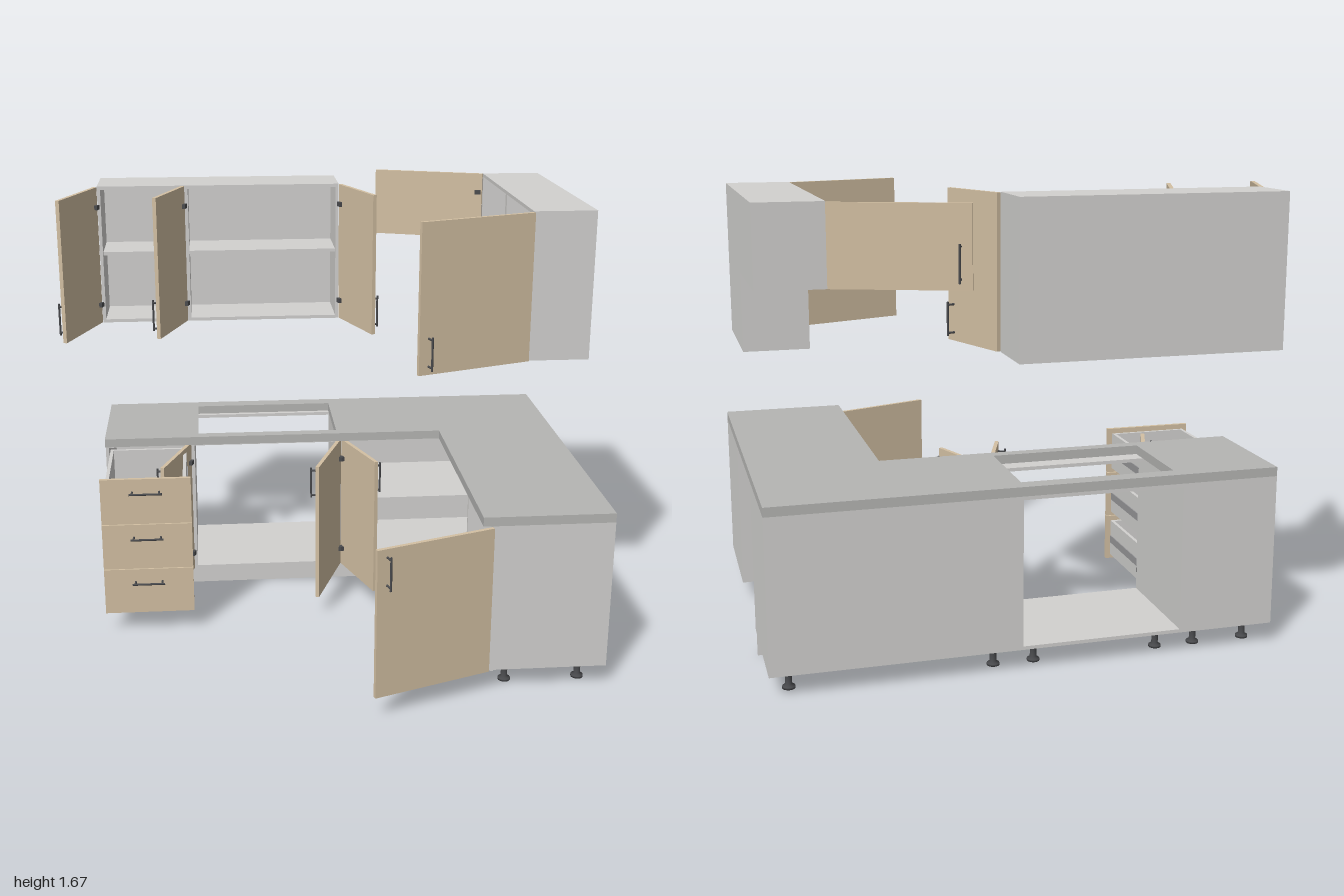
import * as THREE from 'three';

const mat = (name, color) => {
  const m = new THREE.MeshStandardMaterial({ color });
  m.name = name;
  return m;
};

export function createModel() {
  const carcassMat = mat('carcass grey', 0xd2d1cf);
  const frontMat = mat('beige fronts', 0xd3c0a3);
  const topMat = mat('worktop grey', 0xb5b5b3);
  const darkMat = mat('dark metal', 0x4a4b4e);
  const slideMat = mat('slide grey', 0x98989a);

  const model = new THREE.Group();
  model.name = 'cornerKitchen';
  const T = 0.013; // panel thickness
  const OPEN = THREE.MathUtils.degToRad(110);

  const group = (name, parent) => {
    const g = new THREE.Group();
    g.name = name;
    parent.add(g);
    return g;
  };

  // Box given by its limits
  const box = (parent, name, m, x0, x1, y0, y1, z0, z1) => {
    const mesh = new THREE.Mesh(new THREE.BoxGeometry(x1 - x0, y1 - y0, z1 - z0), m);
    mesh.position.set((x0 + x1) / 2, (y0 + y1) / 2, (z0 + z1) / 2);
    mesh.name = name;
    parent.add(mesh);
    return mesh;
  };

  // Bar handle on two posts, lying along x and standing out towards +z
  const handle = (parent, x, y, z, vertical) => {
    const g = group('handle', parent);
    const bar = new THREE.Mesh(new THREE.CylinderGeometry(0.004, 0.004, 0.126, 10), darkMat);
    bar.name = 'handleBar';
    bar.rotation.z = Math.PI / 2;
    bar.position.z = 0.028;
    g.add(bar);
    for (const s of [-1, 1]) {
      const post = new THREE.Mesh(new THREE.CylinderGeometry(0.004, 0.004, 0.028, 10), darkMat);
      post.name = 'handlePost';
      post.rotation.x = Math.PI / 2;
      post.position.set(s * 0.052, 0, 0.014);
      g.add(post);
    }
    if (vertical) g.rotation.z = Math.PI / 2;
    g.position.set(x, y, z);
  };

  // Open door, hinged on its left (side = 1) or right (side = -1) edge
  const door = (parent, x, z, w, y0, y1, side, handleY) => {
    const g = group('door', parent);
    const a = side * 0.002, b = side * (w - 0.002);
    box(g, 'doorPanel', frontMat, Math.min(a, b), Math.max(a, b), y0 + 0.002, y1 - 0.002, 0, 0.015);
    handle(g, side * (w - 0.04), handleY, 0.015, true);
    for (const y of [y0 + 0.08, y1 - 0.08]) {
      const cx = side * 0.02;
      box(g, 'hinge', darkMat, cx - 0.012, cx + 0.012, y - 0.009, y + 0.009, -0.012, 0);
    }
    g.position.set(x, 0, z);
    g.rotation.y = -side * OPEN;
  };

  // Cabinet box facing +z
  const carcass = (g, x0, x1, y0, y1, z0, z1, { back = true, rails = false, shelf = 0 } = {}) => {
    box(g, 'leftSide', carcassMat, x0, x0 + T, y0, y1, z0, z1);
    box(g, 'rightSide', carcassMat, x1 - T, x1, y0, y1, z0, z1);
    box(g, 'floor', carcassMat, x0 + T, x1 - T, y0, y0 + T, z0, z1);
    if (rails) {
      box(g, 'frontRail', carcassMat, x0 + T, x1 - T, y1 - T, y1, z1 - 0.08, z1);
      box(g, 'backRail', carcassMat, x0 + T, x1 - T, y1 - T, y1, z0, z0 + 0.08);
    } else box(g, 'top', carcassMat, x0 + T, x1 - T, y1 - T, y1, z0, z1);
    if (back) box(g, 'back', carcassMat, x0 + T, x1 - T, y0 + T, y1 - T, z0, z0 + 0.006);
    if (shelf) box(g, 'shelf', carcassMat, x0 + T, x1 - T, shelf - T / 2, shelf + T / 2, z0 + 0.006, z1 - 0.012);
  };

  // Adjustable foot
  const footGeo = new THREE.LatheGeometry(
    [[0, 0], [0.023, 0], [0.023, 0.008], [0.012, 0.016], [0.012, 0.068], [0.026, 0.074], [0.026, 0.08], [0, 0.08]]
      .map(([r, y]) => new THREE.Vector2(r, y)), 16);
  const feet = (g, x0, x1, z0, z1) => {
    for (const x of [x0 + 0.075, x1 - 0.075]) for (const z of [z0 + 0.085, z1 - 0.08]) {
      const f = new THREE.Mesh(footGeo, darkMat);
      f.name = 'foot';
      f.position.set(x, 0, z);
      g.add(f);
    }
  };

  const B0 = 0.08, B1 = 0.645, W0 = 1.11, W1 = 1.67, WM = 1.39;
  const BACK = -0.71, FRONT = -0.27, WFRONT = -0.475;
  const baseUnit = (name, parent, x0, x1, z0, z1, opts) => {
    const g = group(name, parent);
    carcass(g, x0, x1, B0, B1, z0, z1, { rails: true, ...opts });
    feet(g, x0, x1, z0, z1);
    return g;
  };

  // Back run of base units
  const drawers = baseUnit('drawerUnit', model, -0.85, -0.5, BACK, FRONT);
  const sink = baseUnit('sinkUnit', model, -0.5, 0.12, BACK, FRONT, { back: false });
  door(sink, -0.5, FRONT, 0.31, B0, B1, 1, 0.56);
  door(sink, 0.12, FRONT, 0.31, B0, B1, -1, 0.56);
  const corner = baseUnit('cornerUnit', model, 0.12, 1, BACK, FRONT, { shelf: 0.365 });
  door(corner, 0.12, FRONT, 0.35, B0, B1, 1, 0.56);

  // Three pulled out drawers
  for (let i = 0; i < 3; i++) {
    const g = group('drawer', drawers);
    const y0 = B0 + 0.003 + i * 0.188, b = y0 + 0.017, t = y0 + 0.165;
    box(g, 'drawerFront', frontMat, -0.849, -0.501, y0, y0 + 0.185, 0.12, 0.135);
    box(g, 'drawerLeftWall', carcassMat, -0.83, -0.817, b, t, -0.27, 0.12);
    box(g, 'drawerRightWall', carcassMat, -0.533, -0.52, b, t, -0.27, 0.12);
    box(g, 'drawerBack', carcassMat, -0.817, -0.533, b, t, -0.27, -0.257);
    box(g, 'drawerInnerFront', carcassMat, -0.817, -0.533, b, t, 0.107, 0.12);
    box(g, 'drawerFloor', carcassMat, -0.817, -0.533, b, b + 0.008, -0.257, 0.107);
    for (const x of [-0.834, -0.52]) {
      box(g, 'drawerSlide', slideMat, x, x + 0.004, b + 0.055, b + 0.085, -0.27, 0.11);
    }
    handle(g, -0.675, y0 + 0.132, 0.135, false);
  }

  // Back run of wall units
  const wallA = group('narrowWallUnit', model);
  carcass(wallA, -0.85, -0.5, W0, W1, BACK, WFRONT, { shelf: 1.395 });
  door(wallA, -0.85, WFRONT, 0.35, W0, W1, 1, 1.195);
  const wallB = group('wideWallUnit', model);
  carcass(wallB, -0.5, 0.125, W0, W1, BACK, WFRONT, { shelf: 1.395 });
  door(wallB, -0.5, WFRONT, 0.312, W0, W1, 1, 1.195);
  door(wallB, 0.125, WFRONT, 0.312, W0, W1, -1, 1.195);

  // Side run, facing -x: its own x is the model's z
  const side = group('sideRun', model);
  side.rotation.y = -Math.PI / 2;
  const end = baseUnit('endUnit', side, 0.24, 0.705, -1, -0.56, { shelf: 0.365 });
  door(end, 0.705, -0.56, 0.465, B0, B1, -1, 0.56);
  const wallC = group('tallWallUnit', side);
  carcass(wallC, -0.235, 0.235, W0, W1, -1, -0.765, { shelf: 1.395 });
  door(wallC, 0.235, -0.765, 0.47, W0, W1, -1, 1.195);
  const wallD = group('shortWallUnit', side);
  carcass(wallD, -0.71, -0.235, WM, W1, -1, -0.765);
  door(wallD, -0.71, -0.765, 0.47, WM, W1, 1, 1.48);

  // Plinths
  box(model, 'backRunPlinth', carcassMat, -0.85, 1, 0, B0, -0.32, -0.307);
  box(model, 'sideRunPlinth', carcassMat, 0.6, 0.613, 0, B0, -0.235, 0.57);

  // L-shaped worktop with a sink cut-out (shape y is -z)
  const outline = new THREE.Shape([[-0.85, 0.24], [0.525, 0.24], [0.525, -0.705], [1, -0.705], [1, 0.71], [-0.85, 0.71]]
    .map(([x, y]) => new THREE.Vector2(x, y)));
  outline.holes.push(new THREE.Path([[-0.47, 0.285], [-0.47, 0.65], [0.1, 0.65], [0.1, 0.285]]
    .map(([x, y]) => new THREE.Vector2(x, y))));
  const worktop = new THREE.Mesh(
    new THREE.ExtrudeGeometry(outline, { depth: 0.034, bevelEnabled: false }), topMat);
  worktop.name = 'worktop';
  worktop.rotation.x = -Math.PI / 2;
  worktop.position.y = B1;
  model.add(worktop);

  return model;
}
